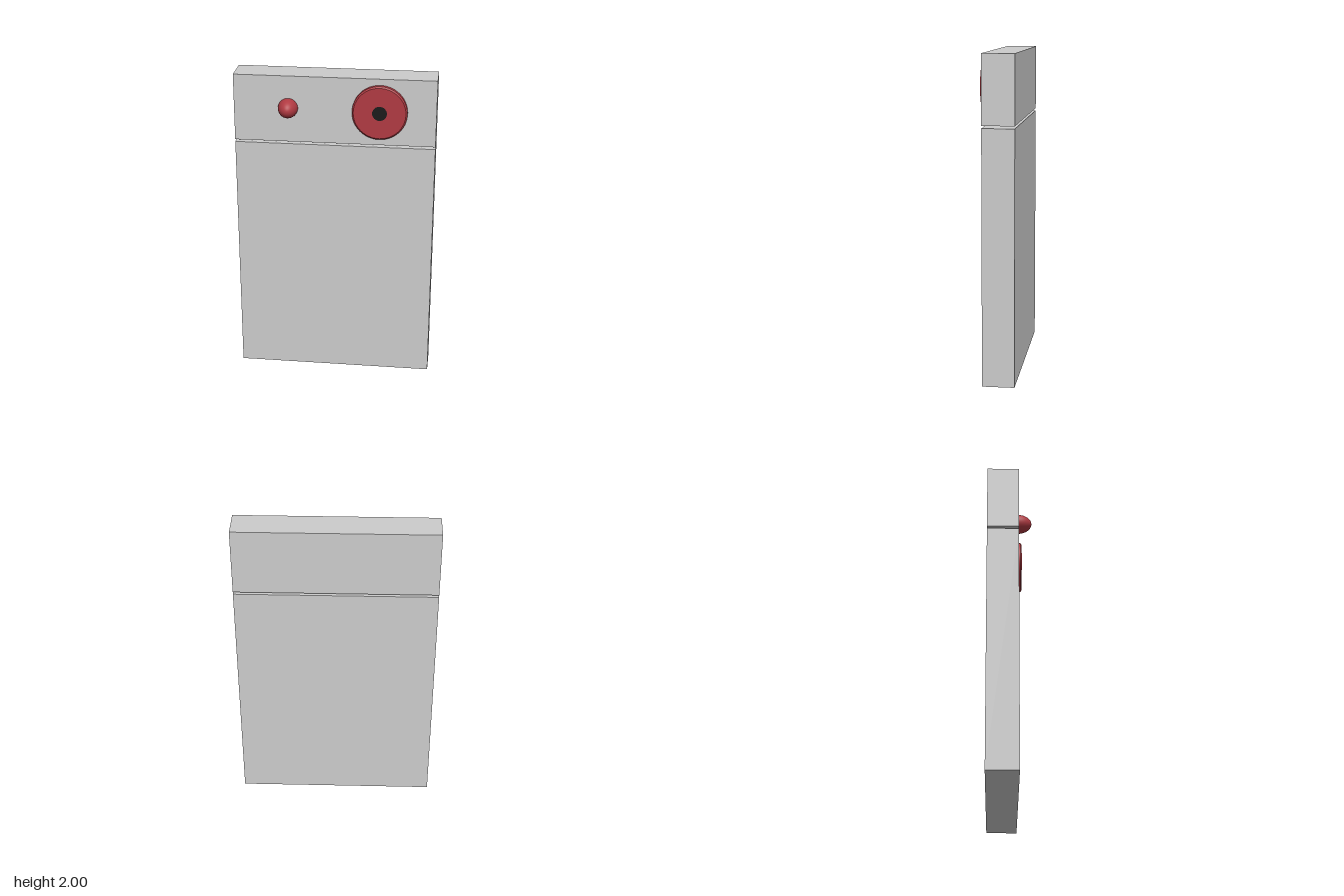
import * as THREE from 'three';

export function createModel() {
  const model = new THREE.Group();
  const grey = new THREE.MeshStandardMaterial({ color: 0xcccccc });
  const red = new THREE.MeshStandardMaterial({ color: 0xb03a42 });
  const black = new THREE.MeshStandardMaterial({ color: 0x1a1a1a });
  const width = 1.244, back = -0.142, front = 0.055;

  const add = (name, geometry, material, x, y, z) => {
    const mesh = new THREE.Mesh(geometry, material);
    mesh.name = name;
    mesh.position.set(x, y, z);
    model.add(mesh);
  };

  // Two slabs with a narrow gap between them
  const slab = (name, y0, y1) => add(name,
    new THREE.BoxGeometry(width, y1 - y0, front - back), grey,
    0, (y0 + y1) / 2, (front + back) / 2);
  slab('lowerPanel', 0, 1.565);
  slab('upperPanel', 1.58, 2);

  // Flat dial with a bevelled rim; each profile segment is its own hard-edged band
  const dial = [[0.169, 0], [0.169, 0.025], [0.16, 0.033], [0, 0.033]];
  for (let i = 0; i < dial.length - 1; i++) {
    const points = [dial[i], dial[i + 1]].map(([r, h]) => new THREE.Vector2(r, h));
    const band = new THREE.LatheGeometry(points, 48).rotateX(Math.PI / 2);
    add(['dialSide', 'dialBevel', 'dialFace'][i], band, red, 0.278, 1.793, front);
  }

  // Dark spot in the middle of the dial
  add('dialCentre', new THREE.CircleGeometry(0.045, 32), black, 0.278, 1.793, front + 0.0345);

  // Domed button, stretched forward
  const dome = new THREE.SphereGeometry(1, 32, 12, 0, Math.PI * 2, 0, Math.PI / 2)
    .rotateX(Math.PI / 2).scale(0.061, 0.061, 0.087);
  add('domeButton', dome, red, -0.286, 1.798, front);

  return model;
}
